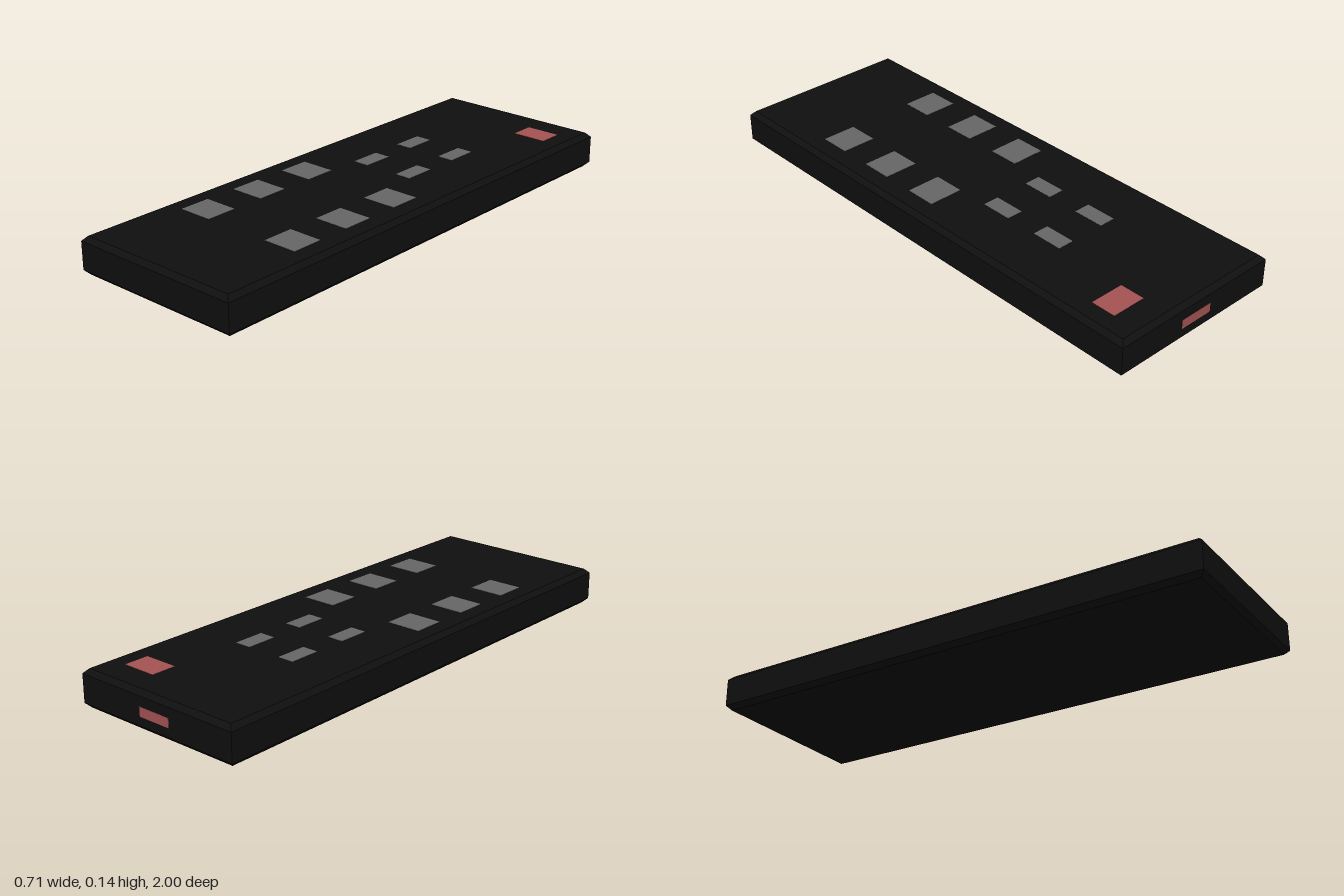
import * as THREE from 'three';

const W = 0.706, H = 0.143, L = 1.998, BEVEL = 0.018;

const material = (color) => new THREE.MeshStandardMaterial({ color, flatShading: true });

// Box whose top and bottom rims are bevelled, with sharp upright corners
function bevelledBox(w, h, l, b) {
  const g = new THREE.BoxGeometry(w, h, l, 1, 3, 1);
  const p = g.attributes.position;
  for (let i = 0; i < p.count; i++) {
    const x = p.getX(i), y = p.getY(i), z = p.getZ(i);
    if (Math.abs(y) > h * 0.4) {
      p.setX(i, x - Math.sign(x) * b);
      p.setZ(i, z - Math.sign(z) * b);
    } else {
      p.setY(i, Math.sign(y) * (h / 2 - b));
    }
  }
  g.computeVertexNormals();
  return g;
}

export function createModel() {
  const model = new THREE.Group();
  const black = material(0x0f0f0f), grey = material(0x666666), red = material(0xa55252);

  const add = (name, geometry, mat, x, y, z) => {
    const mesh = new THREE.Mesh(geometry, mat);
    mesh.name = name;
    mesh.position.set(x, y, z);
    model.add(mesh);
  };

  // Handset casing
  add('casing', bevelledBox(W, H, L, BEVEL), black, 0, H / 2, 0);

  // Thin keys, nearly flush with the top face
  const key = (name, mat, x, z, w, d) =>
    add(name, new THREE.BoxGeometry(w, 0.01, d), mat, x, H - 0.004, z);

  key('powerButton', red, 0.201, -0.835, 0.138, 0.098);
  for (const z of [-0.44, -0.189])
    for (const x of [-0.104, 0.1]) key('smallButton', grey, x, z, 0.066, 0.124);
  for (const z of [0.062, 0.311, 0.56])
    for (const x of [-0.206, 0.201]) key('largeButton', grey, x, z, 0.138, 0.124);

  // Signal window in the back end
  add('signalWindow', new THREE.BoxGeometry(0.138, 0.036, 0.01), red, 0, 0.07, -0.995);

  return model;
}
